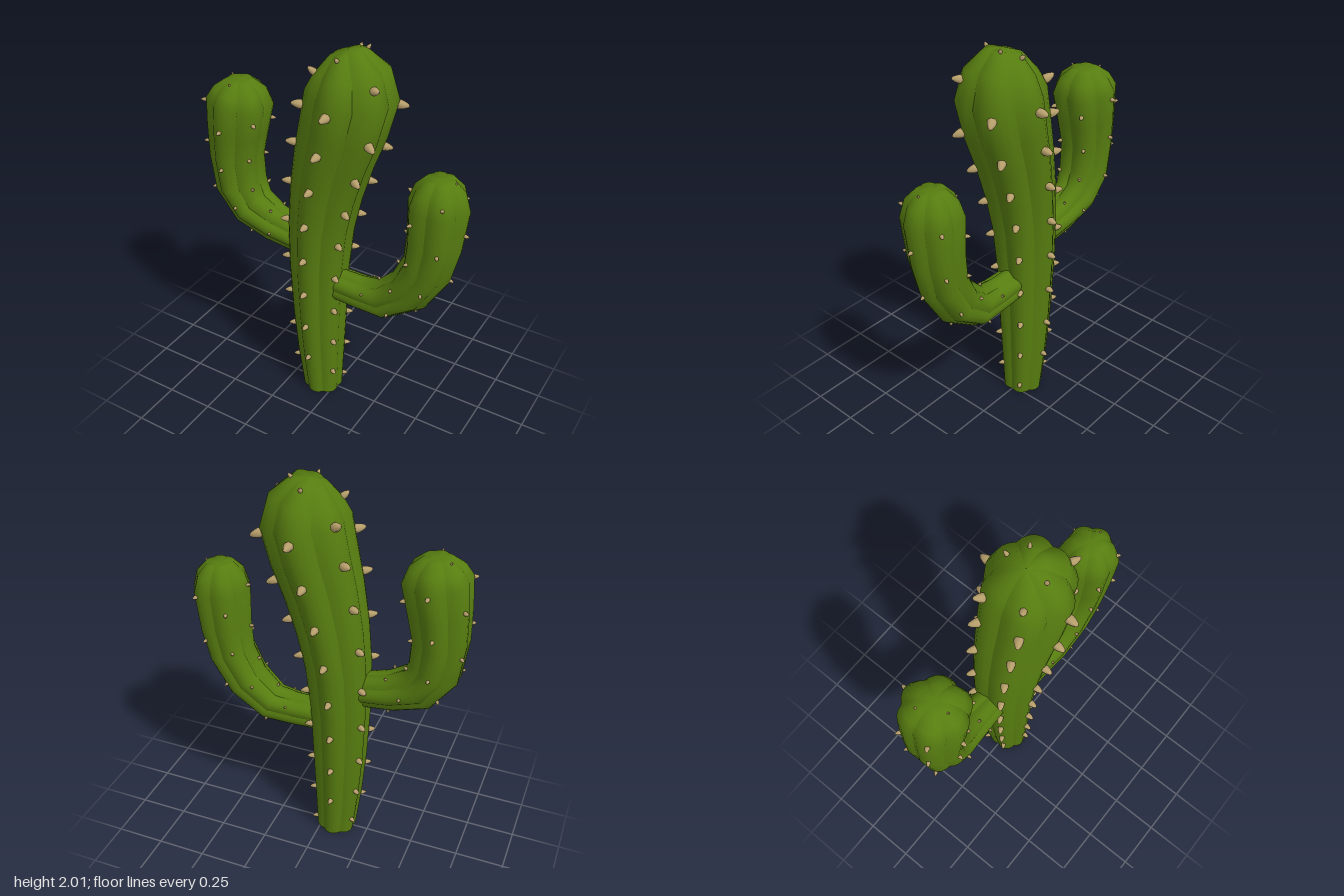
import * as THREE from 'three';

const RIBS = 6, SEG = 6, DEPTH = 0.13;
const V = (x, y, z = 0) => new THREE.Vector3(x, y, z);

// Ribbed stem: rings are [x, y, radius] along a path in the xy plane
function makeStem(rings, phase) {
  const n = rings.length;
  const frames = rings.map(([x, y, r], i) => {
    const a = rings[Math.max(i - 1, 0)], b = rings[Math.min(i + 1, n - 1)];
    const t = y === 0 ? V(0, 1) : V(b[0] - a[0], b[1] - a[1]).normalize();
    return { c: V(x, y), r, t, s: V(t.y, -t.x) };
  });
  const point = (f, ang, k = 1) => f.c.clone()
    .addScaledVector(f.s, f.r * k * Math.cos(ang))
    .addScaledVector(V(0, 0, 1), f.r * k * Math.sin(ang));

  const pos = [], idx = [];
  const step = Math.PI * 2 / RIBS;
  const ringPoint = (f, rib, j) => {
    const u = j / SEG - 0.5;
    return point(f, phase + (rib + u) * step, 1 - DEPTH * (1 - Math.cos(u * Math.PI)));
  };
  for (let rib = 0; rib < RIBS; rib++) {
    // each rib is its own strip, so the grooves stay sharp
    const base = pos.length / 3;
    frames.forEach((f, i) => {
      for (let j = 0; j <= SEG; j++) {
        pos.push(...ringPoint(f, rib, j).toArray());
        if (i < n - 1 && j < SEG) {
          const a = base + i * (SEG + 1) + j, c = a + SEG + 1;
          idx.push(a, c, a + 1, a + 1, c, c + 1);
        }
      }
    });
    // closed lower end
    const cap = pos.length / 3;
    pos.push(...frames[0].c.toArray());
    for (let j = 0; j <= SEG; j++) {
      pos.push(...ringPoint(frames[0], rib, j).toArray());
      if (j < SEG) idx.push(cap, cap + 1 + j, cap + 2 + j);
    }
  }
  const geometry = new THREE.BufferGeometry();
  geometry.setAttribute('position', new THREE.Float32BufferAttribute(pos, 3));
  geometry.setIndex(idx);
  geometry.computeVertexNormals();

  // Point and outward direction on a rib's ridge at distance d along the path
  const ridge = (rib, d) => {
    const ang = phase + rib * step;
    for (let i = 0; i < n - 1; i++) {
      const a = frames[i], b = frames[i + 1], len = a.c.distanceTo(b.c);
      if (d <= len) {
        const p = point(a, ang).lerp(point(b, ang), d / len);
        const out = point({ ...a, c: V(0, 0), r: 1 }, ang)
          .addScaledVector(a.t, Math.min((a.r - b.r) / len, 1.5)).normalize();
        return { p, out, r: a.r + (b.r - a.r) * d / len };
      }
      d -= len;
    }
    return null;
  };
  return { geometry, ridge };
}

// Blunt thorn pointing along +y
const thornGeometry = new THREE.LatheGeometry(
  [[0.85, -0.5], [1, 0.3], [0.8, 1.1], [0.42, 1.9], [0, 2.2]].map(([x, y]) => new THREE.Vector2(x, y)), 7);

function addThorns(group, stem, starts, spacing, size, material) {
  starts.forEach((start, rib) => {
    for (let d = start; ; d += spacing) {
      const at = stem.ridge(rib, d);
      if (!at || at.r < 0.07) break;
      const thorn = new THREE.Mesh(thornGeometry, material);
      thorn.name = 'thorn';
      thorn.position.copy(at.p);
      thorn.quaternion.setFromUnitVectors(V(0, 1), at.out);
      thorn.scale.setScalar(at.r * size);
      group.add(thorn);
    }
  });
}

export function createModel() {
  const green = new THREE.MeshStandardMaterial({ color: 0x577d10 });
  green.name = 'cactus green';
  const tan = new THREE.MeshStandardMaterial({ color: 0xb8a06c });
  tan.name = 'thorn tan';

  const parts = [
    {
      name: 'trunk', phase: Math.PI / 6, spacing: 0.215, size: 0.11,
      starts: [0.16, 0.265, 0.2, 0.1, 0.26, 0.06],
      rings: [[-0.075, 0, 0.105], [-0.085, 0.25, 0.125], [-0.09, 0.5, 0.14], [-0.09, 0.8, 0.153],
        [-0.075, 1.05, 0.165], [-0.045, 1.25, 0.178], [0, 1.45, 0.193], [0.05, 1.62, 0.207],
        [0.088, 1.78, 0.213], [0.085, 1.89, 0.172], [0.065, 1.975, 0.085], [0.06, 1.982, 0.001]],
    },
    {
      name: 'leftArm', phase: 0, spacing: 0.24, size: 0.07,
      starts: [0.2, 0.36, 0.24, 0.34, 0.22, 0.3],
      rings: [[-0.03, 0.72, 0.085], [0.15, 0.715, 0.09], [0.285, 0.725, 0.103], [0.42, 0.835, 0.117],
        [0.503, 0.99, 0.125], [0.53, 1.15, 0.136], [0.54, 1.35, 0.148], [0.54, 1.43, 0.123],
        [0.54, 1.485, 0.07], [0.54, 1.48, 0.001]],
    },
    {
      name: 'rightArm', phase: Math.PI / 6, spacing: 0.22, size: 0.07,
      starts: [0.26, 0.2, 0.3, 0.2, 0.3, 0.24],
      rings: [[-0.13, 0.92, 0.085], [-0.2, 0.928, 0.088], [-0.35, 0.96, 0.1], [-0.485, 1.02, 0.118],
        [-0.557, 1.14, 0.133], [-0.573, 1.3, 0.137], [-0.557, 1.45, 0.151], [-0.534, 1.6, 0.163],
        [-0.53, 1.665, 0.13], [-0.53, 1.71, 0.07], [-0.53, 1.705, 0.001]],
    },
  ];

  const model = new THREE.Group();
  model.name = 'cactus';
  for (const { name, phase, spacing, size, starts, rings } of parts) {
    const stem = makeStem(rings, phase);
    const group = new THREE.Group();
    group.name = name;
    const mesh = new THREE.Mesh(stem.geometry, green);
    mesh.name = name + 'Stem';
    group.add(mesh);
    addThorns(group, stem, starts, spacing, size, tan);
    model.add(group);
  }
  return model;
}
